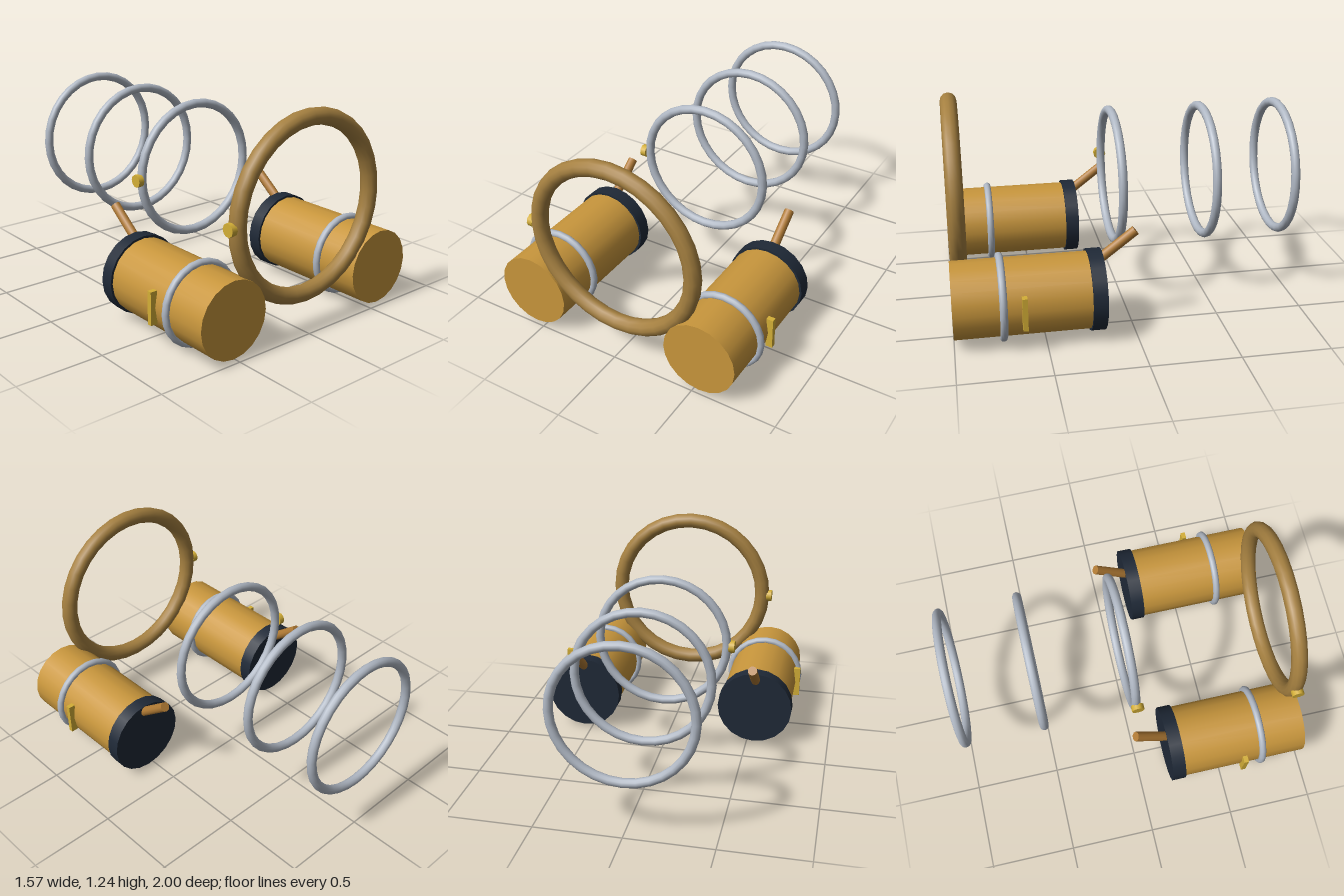
import * as THREE from 'three';

const mat = (color) => new THREE.MeshStandardMaterial({ color });

export function createModel() {
  const model = new THREE.Group();
  model.name = 'ringAndCanisterSet';
  const brass = mat(0xc8963c);
  const darkBrass = mat(0xa58040);
  const copper = mat(0xb07a34);
  const silver = mat(0xb0b8c4);
  const navy = mat(0x1f2937);
  const gold = mat(0xd4af37);

  const add = (parent, name, geometry, material, x, y, z) => {
    const mesh = new THREE.Mesh(geometry, material);
    mesh.name = name;
    mesh.position.set(x, y, z);
    parent.add(mesh);
    return mesh;
  };
  const ring = (parent, name, radius, tube, material, x, y, z, segments) =>
    add(parent, name, new THREE.TorusGeometry(radius, tube, 12, segments), material, x, y, z);
  // Cylinder lying along z
  const drum = (radius, length) =>
    new THREE.CylinderGeometry(radius, radius, length, 20).rotateX(Math.PI / 2);

  // Large front ring and the row of thin rings behind it
  const ringY = 0.71;
  ring(model, 'mainRing', 0.483, 0.047, darkBrass, 0, ringY, 0.947, 32);
  [0.026, -0.513, -0.974].forEach((z, i) =>
    ring(model, `thinRing${i + 1}`, 0.384, 0.026, silver, 0, ringY, z, 32));

  // Small round knobs on the right edge of two rings
  [[-0.53, 0.947], [-0.413, 0.03]].forEach(([x, z], i) =>
    add(model, `ringKnob${i + 1}`,
      new THREE.CylinderGeometry(0.037, 0.037, 0.034, 10).rotateZ(Math.PI / 2),
      gold, x, ringY, z));

  // Mirrored canisters, each with a cap, band, side bar and slanted rod
  for (const side of [-1, 1]) {
    const canister = new THREE.Group();
    canister.name = side > 0 ? 'leftCanister' : 'rightCanister';
    canister.position.set(side * 0.543, 0.249, 0);
    model.add(canister);

    add(canister, 'canisterBody', drum(0.215, 0.76), brass, 0, 0, 0.62);
    add(canister, 'endCap', drum(0.228, 0.08), navy, 0, 0, 0.217);
    ring(canister, 'band', 0.223, 0.021, silver, 0, 0, 0.733, 24);
    add(canister, 'sideBar', new THREE.BoxGeometry(0.04, 0.187, 0.028), gold,
      side * 0.222, 0, 0.622);

    const start = new THREE.Vector3(0, 0.15, 0.23);
    const end = new THREE.Vector3(0, 0.334, -0.01);
    const direction = end.clone().sub(start);
    const rod = add(canister, 'slantedRod',
      new THREE.CylinderGeometry(0.028, 0.028, direction.length(), 10), copper, 0, 0, 0);
    rod.position.copy(start).add(end).multiplyScalar(0.5);
    rod.quaternion.setFromUnitVectors(new THREE.Vector3(0, 1, 0), direction.normalize());
  }
  return model;
}
